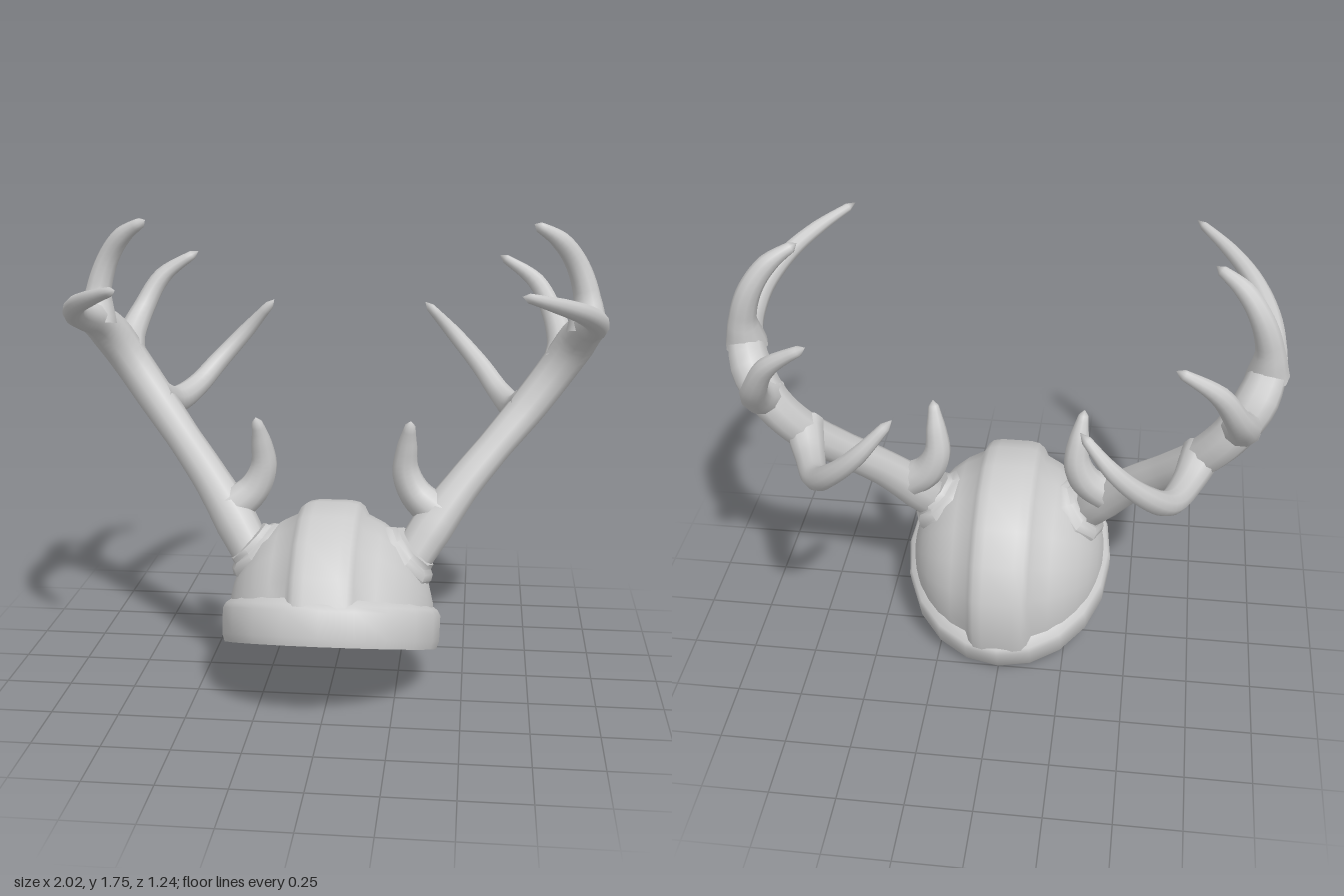
import * as THREE from 'three';
import { mergeVertices, toCreasedNormals } from 'three/addons/utils/BufferGeometryUtils.js';

const mat = new THREE.MeshStandardMaterial({ color: 0xcccccc });
const matDouble = new THREE.MeshStandardMaterial({ color: 0xcccccc, side: THREE.DoubleSide });

function part(name, geometry, material = mat) {
  const mesh = new THREE.Mesh(geometry, material);
  mesh.name = name;
  return mesh;
}

// Tapered horn along points [x, y, z, radius], closed to a blunt tip
function horn(points, side, sides = 10) {
  const curve = new THREE.CatmullRomCurve3(points.map(([x, y, z]) => new THREE.Vector3(x * side, y, z)));
  const rings = points.length * 4;
  const tube = new THREE.TubeGeometry(curve, rings, 1, sides);
  const pos = tube.attributes.position, nor = tube.attributes.normal;
  const last = points.length - 1;
  for (let i = 0; i <= rings; i++) {
    const u = i / rings;
    const t = curve.getUtoTmapping(u) * last;
    const k = Math.min(Math.floor(t), last - 1);
    const r = i === rings ? 0 : THREE.MathUtils.lerp(points[k][3], points[k + 1][3], t - k);
    const c = curve.getPointAt(u);
    for (let j = 0; j <= sides; j++) {
      const n = i * (sides + 1) + j;
      pos.setXYZ(n, c.x + nor.getX(n) * r, c.y + nor.getY(n) * r, c.z + nor.getZ(n) * r);
    }
  }
  // weld the seam and the tip so the shading follows the taper
  tube.deleteAttribute('uv');
  tube.deleteAttribute('normal');
  const geo = mergeVertices(tube, 1e-5);
  geo.computeVertexNormals();
  return geo;
}

// Dome made of front-to-back arches: raised centre ridge, then rounded side panels
function domeGeometry(scale) {
  const half = [[0.06, 1], [0.095, 0.985], [0.115, 0.95], [0.13, 0.885]];
  for (let i = 1; i <= 7; i++) {
    const a = THREE.MathUtils.lerp(0.34, Math.PI / 2, i / 7);
    half.push([0.39 * Math.sin(a), 0.94 * Math.cos(a)]);
  }
  const rows = [...half.map(([x, s]) => [-x, s]).reverse(), ...half];
  const arch = 10, verts = [], index = [];
  rows.forEach(([x, s], r) => {
    // the inner skin keeps the ridge width but shrinks the sides
    const px = Math.abs(x) < 0.14 ? x : x * scale;
    for (let j = 0; j <= arch; j++) {
      const a = (j / arch) * Math.PI;
      verts.push(px, 0.1 + 0.455 * s * scale * Math.sin(a), 0.47 * s * scale * Math.cos(a));
      if (r < rows.length - 1 && j < arch) {
        const p = r * (arch + 1) + j, q = p + arch + 1;
        index.push(p, q, p + 1, q, q + 1, p + 1);
      }
    }
  });
  const geo = new THREE.BufferGeometry();
  geo.setAttribute('position', new THREE.Float32BufferAttribute(verts, 3));
  geo.setIndex(index);
  return toCreasedNormals(geo, 0.75);
}

function createHelmet() {
  const helmet = new THREE.Group();
  helmet.name = 'helmet';
  helmet.add(part('dome', domeGeometry(1), matDouble));
  helmet.add(part('domeLining', domeGeometry(0.82), matDouble));

  // Thick oval rim band
  const profile = [[0.86, 0.11], [0.75, 0.1], [0.755, 0], [0.98, 0], [1.005, 0.03], [1.01, 0.125], [0.985, 0.145], [0.91, 0.168]];
  const band = new THREE.LatheGeometry(profile.map(([r, y]) => new THREE.Vector2(r, y)), 20);
  band.scale(0.41, 1, 0.477);
  helmet.add(part('rimBand', toCreasedNormals(band, 0.75), matDouble));

  helmet.position.set(0, 0.175, 0.182);
  helmet.rotation.x = -0.384;
  return helmet;
}

// Antler paths for the +x side
const antlerParts = {
  mainBeam: [
    [0.29, 0.50, 0.14, 0.075], [0.37, 0.62, 0.08, 0.082], [0.48, 0.765, 0, 0.07], [0.60, 0.90, -0.09, 0.066],
    [0.73, 1.045, -0.18, 0.072], [0.83, 1.18, -0.21, 0.074], [0.895, 1.29, -0.18, 0.078], [0.933, 1.365, -0.09, 0.066],
    [0.947, 1.39, 0.02, 0.052], [0.935, 1.435, 0.18, 0.042], [0.875, 1.49, 0.35, 0.035],
    [0.79, 1.535, 0.48, 0.028], [0.665, 1.585, 0.615, 0.014],
  ],
  browTine: [
    [0.41, 0.66, 0.06, 0.075], [0.31, 0.74, 0.035, 0.062], [0.27, 0.83, 0.033, 0.052],
    [0.275, 0.93, 0.05, 0.039], [0.29, 1.035, 0.085, 0.015],
  ],
  rearTine: [
    [0.73, 1.05, -0.16, 0.075], [0.68, 1.005, -0.29, 0.056], [0.62, 1.03, -0.45, 0.046],
    [0.54, 1.12, -0.55, 0.04], [0.43, 1.24, -0.595, 0.032], [0.31, 1.375, -0.565, 0.015],
  ],
  middleTine: [
    [0.85, 1.2, -0.2, 0.08], [0.85, 1.265, -0.31, 0.056], [0.82, 1.355, -0.40, 0.044],
    [0.75, 1.48, -0.455, 0.035], [0.605, 1.58, -0.48, 0.015],
  ],
  topTine: [
    [0.93, 1.35, -0.1, 0.078], [0.925, 1.47, -0.125, 0.05], [0.885, 1.59, -0.13, 0.042],
    [0.82, 1.68, -0.105, 0.035], [0.72, 1.745, -0.065, 0.016],
  ],
};

function createAntler(side) {
  const antler = new THREE.Group();
  antler.name = side > 0 ? 'leftAntler' : 'rightAntler';
  for (const [name, points] of Object.entries(antlerParts)) antler.add(part(name, horn(points, side)));

  // Stepped eight-sided socket on the dome
  const profile = [[0.138, -0.08], [0.14, 0], [0.125, 0.022], [0.105, 0.03], [0.098, 0.05], [0, 0.055]];
  const geo = new THREE.LatheGeometry(profile.map(([r, y]) => new THREE.Vector2(r, y)), 8);
  const socket = part('socket', toCreasedNormals(geo, 0.9));
  socket.position.set(0.28 * side, 0.53, 0.13);
  socket.quaternion.setFromUnitVectors(new THREE.Vector3(0, 1, 0), new THREE.Vector3(0.72 * side, 0.69, 0).normalize());
  antler.add(socket);
  return antler;
}

export function createModel() {
  const model = new THREE.Group();
  model.name = 'antleredHelmet';
  model.add(createHelmet(), createAntler(1), createAntler(-1));
  return model;
}
